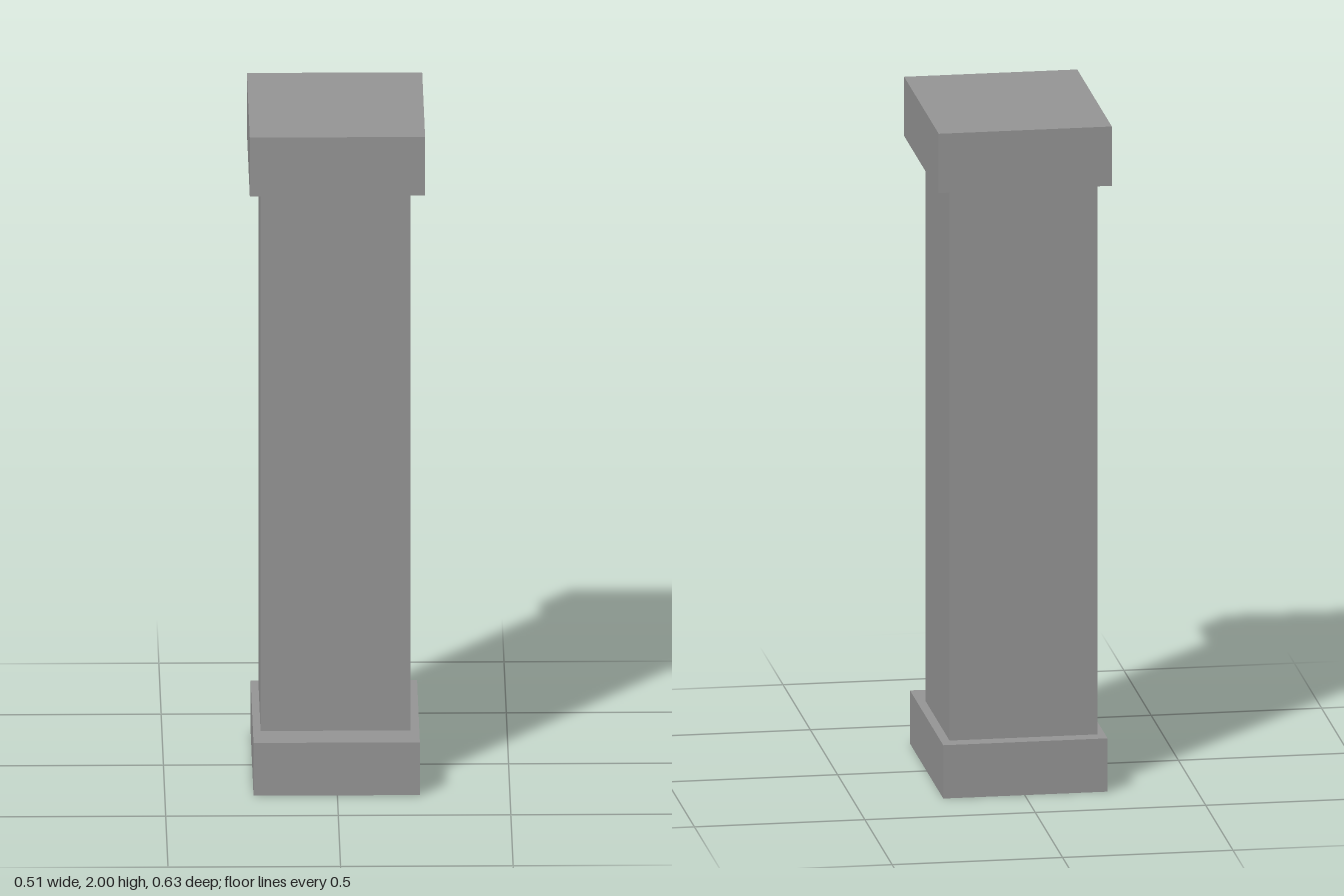
import * as THREE from 'three';

export function createModel() {
  const model = new THREE.Group();
  model.name = 'pillar';
  const stone = new THREE.MeshStandardMaterial({ color: 0x979797 });
  stone.name = 'grey stone';

  // Adds a block spanning the given ranges on x, y and z
  const block = (name, [x0, x1], [y0, y1], [z0, z1]) => {
    const mesh = new THREE.Mesh(new THREE.BoxGeometry(x1 - x0, y1 - y0, z1 - z0), stone);
    mesh.position.set((x0 + x1) / 2, (y0 + y1) / 2, (z0 + z1) / 2);
    mesh.name = name;
    model.add(mesh);
  };

  block('base', [-0.243, 0.239], [0, 0.16], [-0.307, 0.303]);
  // The shaft sits slightly towards the back
  block('shaft', [-0.221, 0.213], [0.16, 1.822], [-0.259, 0.186]);
  block('capital', [-0.254, 0.254], [1.822, 2], [-0.317, 0.317]);

  return model;
}
